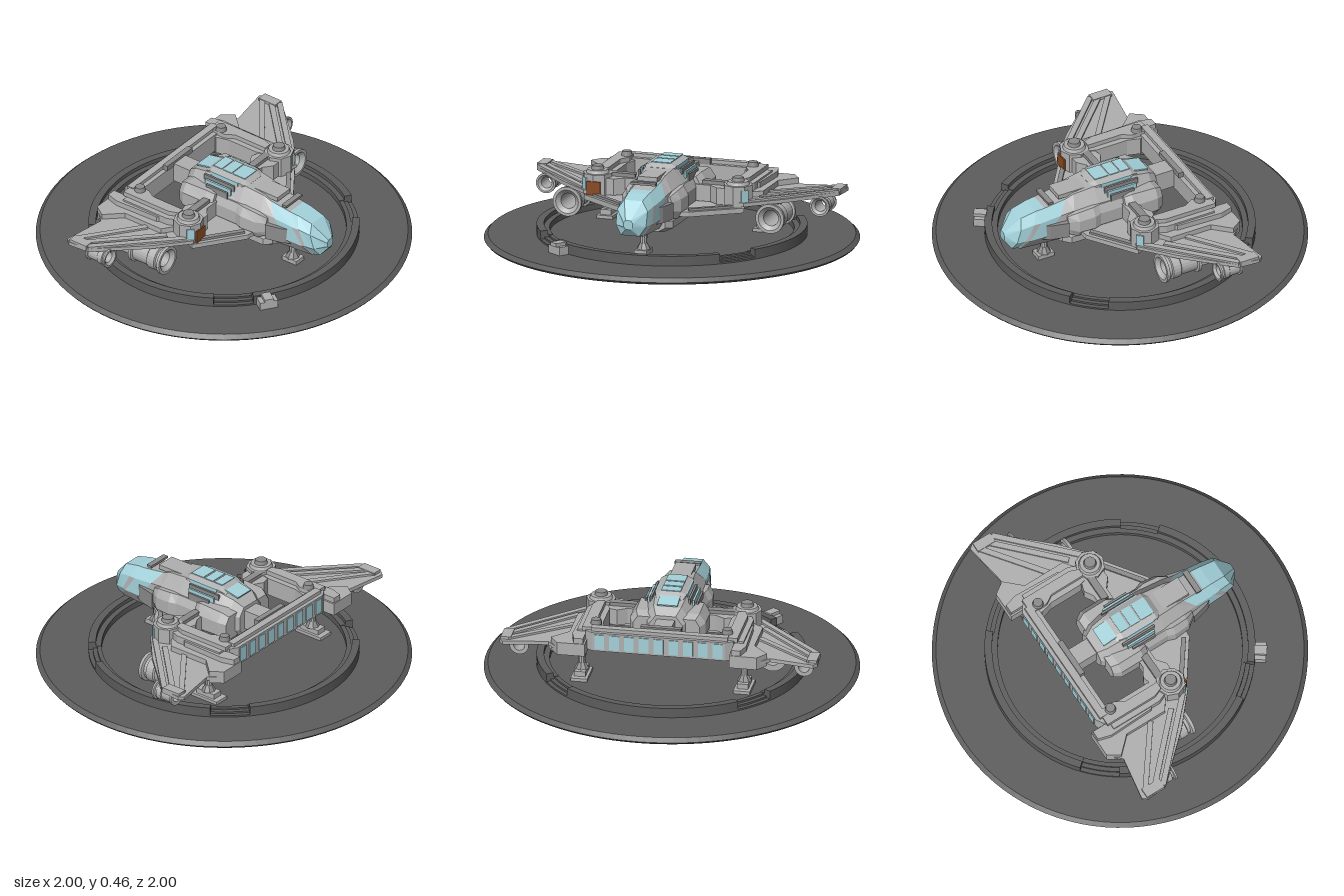
import * as THREE from 'three';

const paint = (name, color) => {
  const m = new THREE.MeshStandardMaterial({ color });
  m.name = name;
  return m;
};

export function createModel() {
  const hull = paint('hull grey', 0xb0b0b0);
  const trim = paint('trim grey', 0x8c8c8c);
  const glass = paint('pale blue glass', 0xa4d2db);
  const stone = paint('pad dark grey', 0x5d5d5d);
  const rust = paint('rust panel', 0x8a4a20);
  const root = new THREE.Group();
  root.name = 'landedShip';

  const add = (name, geo, mat) => {
    const m = new THREE.Mesh(geo, mat);
    m.name = name;
    root.add(m);
    return m;
  };
  const flat = g => { const n = g.toNonIndexed(); n.computeVertexNormals(); return n; };
  // Box given by its limits on each axis
  const box = (name, mat, x0, x1, y0, y1, z0, z1) => {
    const g = new THREE.BoxGeometry(Math.abs(x1 - x0), y1 - y0, Math.abs(z1 - z0));
    return add(name, g.translate((x0 + x1) / 2, (y0 + y1) / 2, (z0 + z1) / 2), mat);
  };
  // Flat plate from an outline of [x, z] corners
  const plate = (name, mat, pts, y0, y1) => {
    const shape = new THREE.Shape(pts.map(([x, z]) => new THREE.Vector2(x, -z)));
    const g = new THREE.ExtrudeGeometry(shape, { depth: y1 - y0, bevelEnabled: false });
    return add(name, g.rotateX(-Math.PI / 2).translate(0, y0, 0), mat);
  };
  const cyl = (name, mat, r0, r1, y0, y1, x, z, n = 16) =>
    add(name, flat(new THREE.CylinderGeometry(r1, r0, y1 - y0, n)).translate(x, (y0 + y1) / 2, z), mat);
  // Bar lying between two [x, z] points
  const bar = (name, mat, a, b, w, y0, y1) => {
    const dx = b[0] - a[0], dz = b[1] - a[1], l = Math.hypot(dx, dz);
    const nx = -dz / l * w / 2, nz = dx / l * w / 2;
    return plate(name, mat, [[a[0] + nx, a[1] + nz], [b[0] + nx, b[1] + nz], [b[0] - nx, b[1] - nz], [a[0] - nx, a[1] - nz]], y0, y1);
  };
  // Octagonal loft, front to back; section = [z, halfWidth, bottom, top, slant]
  const loft = (name, mats, secs, pick = () => 0, cx = 0) => {
    const rings = secs.map(([z, w, b, t, s = 0]) => {
      const c = w * 0.4, h = (t - b) * 0.28;
      return [[w, b + h], [w, t - h], [w - c, t], [c - w, t], [-w, t - h], [-w, b + h], [c - w, b], [w - c, b]]
        .map(([x, y]) => [x + cx, y, z - s * (y - 0.28)]);
    });
    const pos = [], g = new THREE.BufferGeometry();
    const face = (m, ...p) => { g.addGroup(pos.length / 3, p.length, m); p.forEach(v => pos.push(...v)); };
    for (let i = 0; i < rings.length - 1; i++) for (let j = 0; j < 8; j++) {
      const k = (j + 1) % 8, a = rings[i], b = rings[i + 1];
      face(pick(i, j), a[j], b[j], a[k], a[k], b[j], b[k]);
    }
    const first = rings[0], last = rings[rings.length - 1];
    for (let j = 1; j < 7; j++) {
      face(pick(0, 2), first[0], first[j], first[j + 1]);
      face(0, last[0], last[j + 1], last[j]);
    }
    g.setAttribute('position', new THREE.Float32BufferAttribute(pos, 3));
    g.computeVertexNormals();
    return add(name, g, mats);
  };
  const v2 = pts => pts.map(p => new THREE.Vector2(...p));

  // Landing pad: bevelled disc and a raised ring with four lowered gates
  add('padDisc', flat(new THREE.LatheGeometry(v2([[0, 0], [0.99, 0], [1, 0.012], [0.978, 0.033], [0, 0.033]]), 96)), stone);
  const arc = (name, a0, a1, r0, r1, top) => {
    const s = new THREE.Shape(), d = Math.PI / 180;
    s.absarc(0, 0, r1, a0 * d, a1 * d, false);
    s.absarc(0, 0, r0, a1 * d, a0 * d, true);
    const g = new THREE.ExtrudeGeometry(s, { depth: top - 0.03, bevelEnabled: false, curveSegments: 28 });
    add(name, g.rotateX(-Math.PI / 2).translate(0, 0.03, 0), stone);
  };
  [[-33, 33], [50, 130], [147, 213], [230, 310]].forEach(([a, b]) => {
    arc('padRing', a, b, 0.68, 0.72, 0.087);
    arc('padRingStep', a, b, 0.65, 0.68, 0.065);
  });
  [[33, 50], [130, 147], [213, 230], [310, 327]].forEach(([a, b]) => {
    for (let i = 0; i < 3; i++) arc('padGateStep', a, b, 0.65, 0.72 - i * 0.023, 0.042 + i * 0.01);
  });

  // Supply crate beside the ring
  const crate = new THREE.Group();
  crate.name = 'supplyCrate';
  [[0.1, 0.045, 0.06, 0.055], [0.05, 0.02, 0.07, 0.085]].forEach(([w, h, d, y]) => {
    const m = new THREE.Mesh(new THREE.BoxGeometry(w, h, d), hull);
    m.name = 'crateBlock';
    m.position.y = y;
    crate.add(m);
  });
  crate.position.set(-0.425, 0, 0.615);
  crate.rotation.y = -0.6;
  root.add(crate);

  // Fuselage with glazed nose and slanted side windows
  loft('fuselage', [hull, glass], [
    [0.71, 0.025, 0.22, 0.27], [0.65, 0.085, 0.18, 0.36, 0.3], [0.59, 0.095, 0.175, 0.38, 0.5],
    [0.56, 0.1, 0.17, 0.385, 0.7], [0.46, 0.105, 0.165, 0.405, 0.8], [0.36, 0.115, 0.16, 0.425, 0.3],
    [0.2, 0.13, 0.15, 0.44], [-0.04, 0.14, 0.16, 0.435], [-0.13, 0.125, 0.18, 0.415], [-0.18, 0.09, 0.21, 0.38],
  ], (i, j) => +(i < 2 || (i === 2 && j > 0 && j < 4) || (i === 3 && [0, 1, 3, 4].includes(j))));
  loft('keel', hull, [[0.4, 0.1, 0.14, 0.22], [0.36, 0.13, 0.13, 0.22], [0.02, 0.13, 0.13, 0.22], [-0.1, 0.1, 0.17, 0.22]]);
  box('noseVent', trim, -0.07, 0.07, 0.405, 0.418, 0.44, 0.47);
  box('spinePlate', hull, -0.055, 0.055, 0.41, 0.435, 0.22, 0.4);

  // Roof cabin with glass strips
  loft('roofCabin', hull, [[0.21, 0.075, 0.41, 0.44], [0.18, 0.085, 0.41, 0.46], [-0.03, 0.085, 0.41, 0.46], [-0.07, 0.07, 0.41, 0.435]]);
  [[0.1, 0.18], [0.035, 0.09], [-0.03, 0.025]].forEach(([a, b]) => box('roofWindow', glass, -0.052, 0.052, 0.457, 0.464, a, b));
  const slope = box('rearWindow', glass, -0.055, 0.055, -0.004, 0.004, -0.05, 0.05);
  slope.position.set(0, 0.433, -0.09);
  slope.rotation.x = -0.2;

  // Parts repeated on both flanks
  for (const s of [1, -1]) {
    const mir = pts => pts.map(([x, z]) => [x * s, z]);
    const sbox = (name, mat, x0, x1, ...r) => box(name, mat, x0 * s, x1 * s, ...r);

    sbox('cabinSideWindow', glass, 0.08, 0.089, 0.42, 0.447, -0.02, 0.16);
    for (let i = 0; i < 3; i++) {
      const x = 0.098 + i * 0.018, y = 0.43 - i * 0.015;
      sbox('roofSlat', i === 1 ? glass : trim, x, x + 0.011, y - 0.04, y, -0.05 + i * 0.02, 0.15 - i * 0.01);
    }
    // Stepped flank armour
    loft('flankArmour', hull, [[0.38, 0.025, 0.22, 0.33], [0.33, 0.06, 0.2, 0.35], [0.24, 0.07, 0.2, 0.36], [0.2, 0.055, 0.2, 0.36], [0.0, 0.055, 0.2, 0.36]], undefined, 0.105 * s);
    loft('rearShoulder', hull, [[0.06, 0.06, 0.21, 0.37], [0.02, 0.085, 0.2, 0.385], [-0.12, 0.085, 0.21, 0.38], [-0.16, 0.06, 0.22, 0.36]], undefined, 0.12 * s);
    plate('neckFairing', trim, mir([[0.09, 0.52], [0.115, 0.48], [0.14, 0.38], [0.09, 0.38]]), 0.21, 0.3);

    // Cross boom and turret pod
    plate('crossBoom', hull, mir([[0.12, 0.07], [0.24, 0.07], [0.29, 0.11], [0.36, 0.11], [0.36, -0.02], [0.29, -0.04], [0.24, -0.01], [0.12, -0.01]]), 0.24, 0.33);
    sbox('boomTopRib', trim, 0.19, 0.34, 0.33, 0.35, 0.01, 0.05);
    cyl('turretPod', hull, 0.08, 0.08, 0.235, 0.35, 0.395 * s, 0.065, 8);
    cyl('turretRim', hull, 0.062, 0.055, 0.35, 0.368, 0.395 * s, 0.065, 20);
    cyl('turretCap', trim, 0.035, 0.03, 0.368, 0.388, 0.395 * s, 0.065, 20);
    const pane = sbox('podWindow', glass, -0.02, 0.02, 0.245, 0.33, -0.004, 0.004);
    pane.position.set(0.45 * s, 0, 0.12);
    pane.rotation.y = s * Math.PI / 4;

    // Side pylon linking pod and stern
    plate('sidePylon', hull, mir([[0.35, 0.03], [0.42, 0.03], [0.45, -0.04], [0.45, -0.33], [0.33, -0.33], [0.31, -0.29], [0.33, -0.22], [0.33, -0.04]]), 0.235, 0.335);
    plate('pylonTop', hull, mir([[0.36, 0.0], [0.4, 0.0], [0.42, -0.05], [0.42, -0.35], [0.33, -0.35], [0.33, -0.25], [0.36, -0.2]]), 0.335, 0.36);
    cyl('sternKnob', trim, 0.03, 0.025, 0.36, 0.385, 0.355 * s, -0.29);

    // Wing, swept front panel and ribs
    plate('wing', hull, mir([[0.4, -0.43], [0.54, -0.43], [0.6, -0.365], [0.84, -0.405], [0.86, -0.38], [0.85, -0.26], [0.62, -0.01], [0.45, 0.14], [0.4, 0.13]]), 0.245, 0.265);
    plate('wingRoot', hull, mir([[0.39, -0.435], [0.54, -0.435], [0.585, -0.37], [0.5, -0.28], [0.5, -0.04], [0.42, 0.02], [0.39, -0.2]]), 0.225, 0.295);
    plate('wingRootCap', hull, mir([[0.4, -0.43], [0.45, -0.43], [0.47, -0.36], [0.46, -0.1], [0.42, -0.06], [0.4, -0.3]]), 0.295, 0.325);
    [[[0.46, 0.1], [0.84, -0.27]], [[0.5, 0.0], [0.83, -0.32]], [[0.5, -0.13], [0.82, -0.37]]].forEach(([a, b]) =>
      bar('wingRib', hull, [a[0] * s, a[1]], [b[0] * s, b[1]], 0.03, 0.262, 0.276));
    sbox('wingTip', hull, 0.8, 0.855, 0.25, 0.28, -0.38, -0.27);
    plate('frontPanel', hull, mir([[0.45, 0.13], [0.2, 0.31], [0.11, 0.32], [0.11, 0.03], [0.4, 0.03]]), 0.21, 0.237);
    bar('frontPanelRib', trim, [0.41 * s, 0.12], [0.19 * s, 0.28], 0.025, 0.235, 0.25);

    // Hollow engines slung under the wing
    [['mainEngine', 0.57, 0.17, 0.08, 0.042, -0.15, 0.21], ['outerEngine', 0.77, 0.2, 0.055, 0.03, -0.3, 0.13]].forEach(([name, x, y, R, ri, z, L]) => {
      const p = [[ri, 0], [R * 0.95, 0], [R * 0.95, L * 0.08], [R * 0.8, L * 0.1], [R * 0.8, L * 0.55], [R * 0.9, L * 0.58],
        [R * 0.9, L * 0.8], [R * 0.78, L * 0.82], [R * 0.78, L * 0.9], [R, L * 0.92], [R, L], [R * 0.8, L], [ri, L * 0.9], [ri, 0]];
      const g = flat(new THREE.LatheGeometry(v2(p), 24)).rotateX(Math.PI / 2).translate(x * s, y, z);
      add(name, g, hull);
      sbox(name + 'Strut', trim, x - 0.025, x + 0.025, y + R * 0.7, 0.25, z + L * 0.15, z + L * 0.7);
    });

    // Rear landing leg
    cyl('rearLegStrut', hull, 0.018, 0.018, 0.07, 0.25, 0.44 * s, -0.25, 10);
    cyl('rearLegSleeve', hull, 0.025, 0.028, 0.15, 0.24, 0.44 * s, -0.25, 10);
    cyl('rearLegAnkle', trim, 0.04, 0.02, 0.075, 0.11, 0.44 * s, -0.25, 8);
    sbox('rearFoot', hull, 0.395, 0.485, 0.033, 0.05, -0.34, -0.17);
    sbox('rearFootTop', hull, 0.41, 0.47, 0.05, 0.078, -0.31, -0.19);
  }

  // Rust panel on the right pod
  box('rustPanel', rust, -0.43, -0.355, 0.24, 0.315, 0.139, 0.147);

  // Stern beam with a row of rear windows
  plate('sternBeam', hull, [[-0.41, -0.3], [0.41, -0.3], [0.4, -0.36], [0.36, -0.385], [-0.36, -0.385], [-0.4, -0.36]], 0.24, 0.345);
  box('sternTop', hull, -0.37, 0.37, 0.345, 0.365, -0.365, -0.325);
  box('sternHub', trim, -0.11, 0.11, 0.345, 0.375, -0.325, -0.295);
  box('tailNeck', hull, -0.05, 0.05, 0.25, 0.36, -0.31, -0.15);
  for (let i = -4; i <= 4; i++) box('sternWindow', glass, i * 0.08 - 0.026, i * 0.08 + 0.026, 0.252, 0.335, -0.39, -0.383);

  // Front landing leg
  cyl('frontLeg', hull, 0.018, 0.022, 0.06, 0.19, 0, 0.46, 10);
  cyl('frontLegCollar', hull, 0.02, 0.04, 0.135, 0.175, 0, 0.46, 8);
  cyl('frontAnkle', trim, 0.04, 0.02, 0.055, 0.09, 0, 0.46, 8);
  box('frontFoot', hull, -0.035, 0.035, 0.033, 0.058, 0.415, 0.51);

  return root;
}
